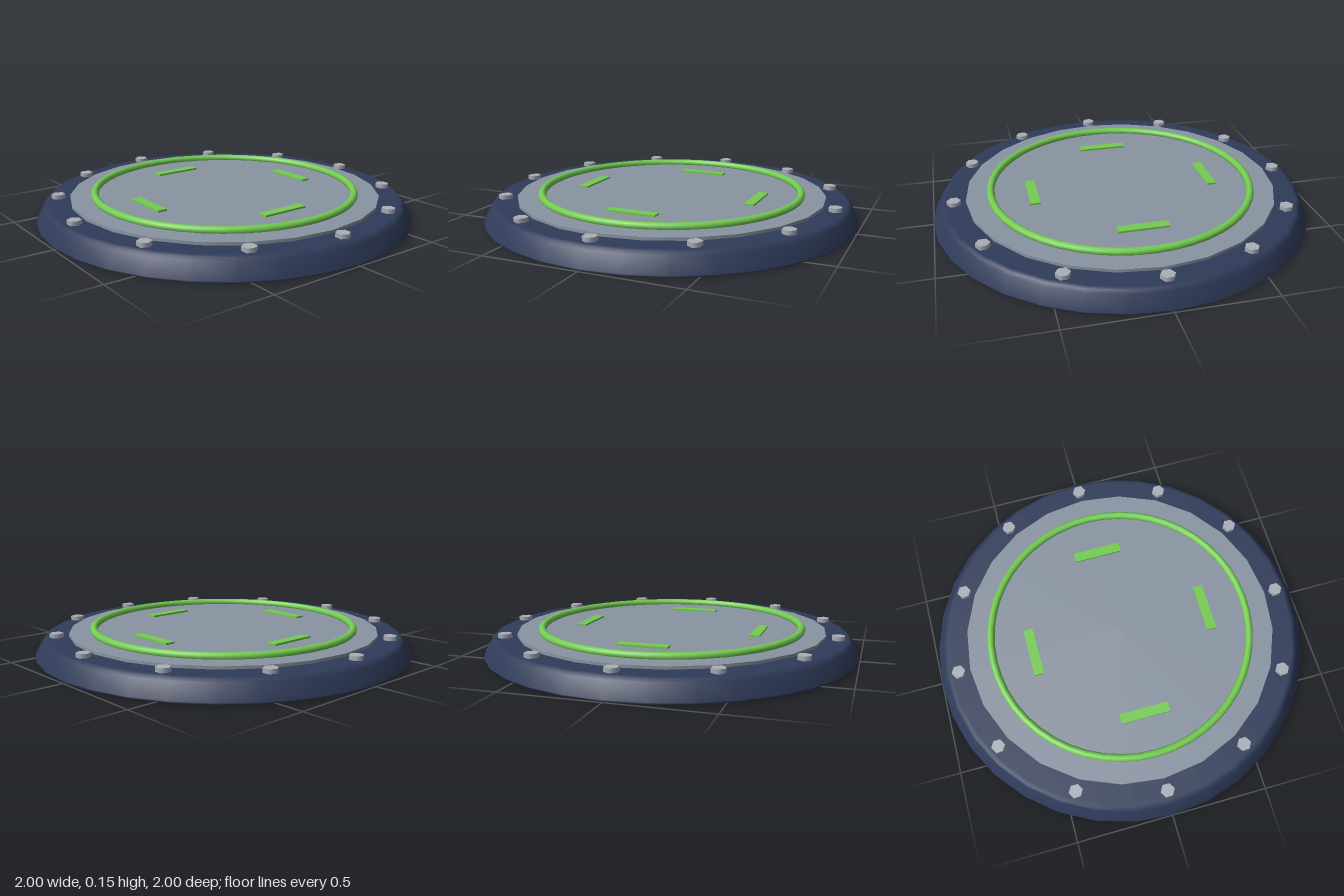
import * as THREE from 'three';

const navy = new THREE.MeshStandardMaterial({ color: 0x2f3b5a });
const steel = new THREE.MeshStandardMaterial({ color: 0x8a94a2 });
const boltGrey = new THREE.MeshStandardMaterial({ color: 0xaab0b8 });
const green = new THREE.MeshStandardMaterial({ color: 0x74cc52 });

export function createModel() {
  const model = new THREE.Group();
  const add = (name, geometry, material, x, y, z) => {
    const mesh = new THREE.Mesh(geometry, material);
    mesh.name = name;
    mesh.position.set(x, y, z);
    model.add(mesh);
    return mesh;
  };

  // Round base with a sloping, softened rim
  const profile = [[0, 0], [0.99, 0], [1, 0.012], [0.958, 0.085], [0.948, 0.098], [0.93, 0.105], [0, 0.105]]
    .map(([r, y]) => new THREE.Vector2(r, y));
  add('base', new THREE.LatheGeometry(profile, 32), navy, 0, 0, 0);

  // Raised floor plate
  add('plate', new THREE.CylinderGeometry(0.825, 0.825, 0.06, 24), steel, 0, 0.09, 0);

  // Glowing ring resting on the plate
  const ring = add('ring', new THREE.TorusGeometry(0.695, 0.02, 10, 48), green, 0, 0.13, 0);
  ring.rotation.x = Math.PI / 2;

  // Four marker bars inside the ring
  const barGeometry = new THREE.BoxGeometry(0.26, 0.016, 0.052);
  for (let i = 0; i < 4; i++) {
    const a = i * Math.PI / 2;
    const bar = add('markerBar', barGeometry, green, Math.sin(a) * 0.478, 0.122, Math.cos(a) * 0.478);
    bar.rotation.y = a;
  }

  // Hexagonal bolts around the rim
  const boltGeometry = new THREE.CylinderGeometry(0.036, 0.036, 0.03, 6);
  for (let i = 0; i < 12; i++) {
    const a = i * Math.PI / 6;
    add('bolt', boltGeometry, boltGrey, Math.sin(a) * 0.887, 0.112, Math.cos(a) * 0.887);
  }
  return model;
}
